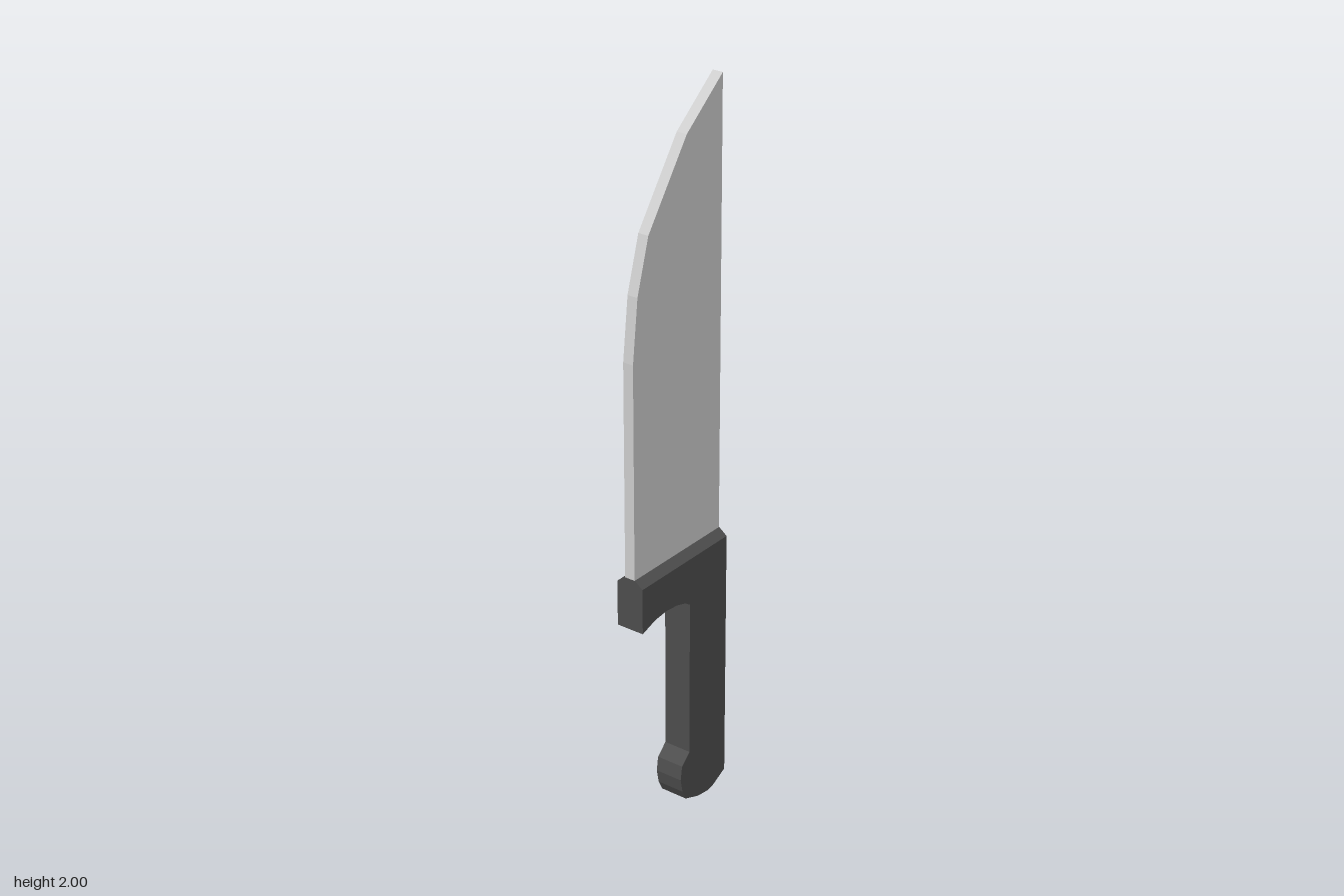
import * as THREE from 'three';

const steel = new THREE.MeshStandardMaterial({ color: 0xcccccc, flatShading: true });
const dark = new THREE.MeshStandardMaterial({ color: 0x4d4d4d, flatShading: true });

const BACK = -0.177, FRONT = 0.177;   // spine and cutting edge
const BLADE_W = 0.03, HANDLE_W = 0.08;
const SHOULDER = 0.748, TOP = 0.766;  // start and end of the bevel above the guard

const toShape = (points) => new THREE.Shape(points.map(([a, b]) => new THREE.Vector2(a, b)));

// Extrudes a (z, y) side profile to a given width, centred on x = 0
function sidePlate(name, points, width, material) {
  const geometry = new THREE.ExtrudeGeometry(toShape(points), { depth: width, bevelEnabled: false });
  geometry.translate(0, 0, -width / 2).rotateY(-Math.PI / 2);
  const mesh = new THREE.Mesh(geometry, material);
  mesh.name = name;
  return mesh;
}

export function createModel() {
  const knife = new THREE.Group();
  knife.name = 'knife';

  // Blade: straight spine, faceted curve towards the tip
  knife.add(sidePlate('blade', [
    [BACK, TOP], [FRONT, TOP], [FRONT, 1.36], [0.158, 1.53],
    [0.115, 1.675], [-0.035, 1.885], [BACK, 2],
  ], BLADE_W, steel));

  // Handle: grip with a hooked guard and a rounded pommel
  knife.add(sidePlate('handle', [
    [BACK, 0.03], [-0.125, 0.004], [-0.1, 0], [-0.06, 0.005], [-0.005, 0.025],
    [0.01, 0.055], [0.018, 0.095], [0.012, 0.135], [-0.02, 0.165],
    [-0.02, 0.615], [0.0, 0.628], [0.035, 0.638], [0.08, 0.642], [0.125, 0.637], [FRONT, 0.62],
    [FRONT, SHOULDER], [BACK, SHOULDER],
  ], HANDLE_W, dark));

  // Bolster: bevel narrowing from the handle to the blade
  const w = HANDLE_W / 2, n = BLADE_W / 2 + 0.002;
  const bolster = new THREE.ExtrudeGeometry(
    toShape([[-w, SHOULDER], [w, SHOULDER], [n, TOP], [-n, TOP]]),
    { depth: FRONT - BACK, bevelEnabled: false },
  );
  bolster.translate(0, 0, BACK);
  const bolsterMesh = new THREE.Mesh(bolster, dark);
  bolsterMesh.name = 'bolster';
  knife.add(bolsterMesh);

  return knife;
}
